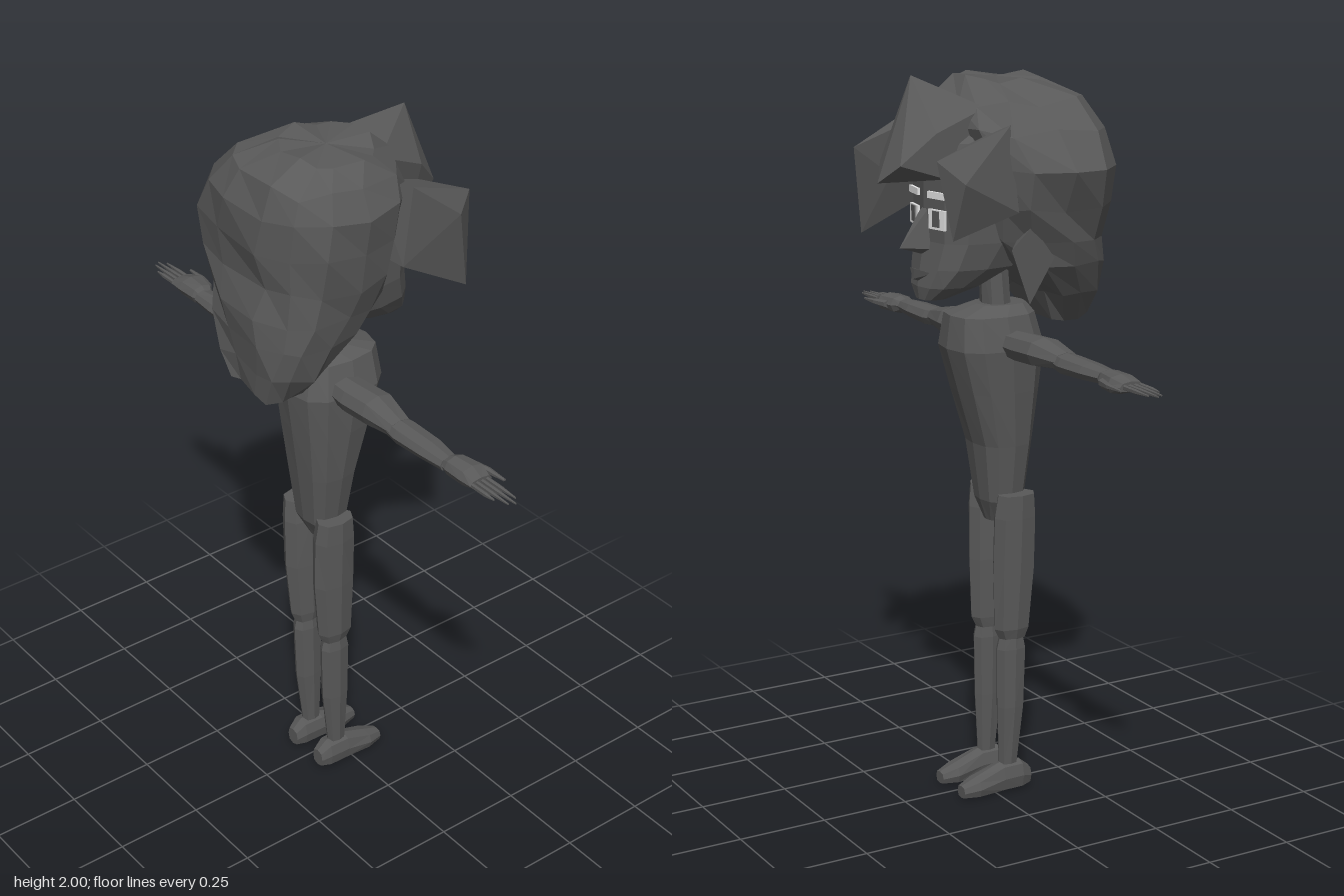
import * as THREE from 'three';
import { ConvexGeometry } from 'three/addons/geometries/ConvexGeometry.js';

const mat = (name, color) => Object.assign(new THREE.MeshStandardMaterial({ color }), { name });

// Small seeded noise for the uneven hair facets
let seed = 7;
const noise = () => ((seed = (seed * 16807) % 2147483647) / 2147483647) * 2 - 1;

// Faceted loft. Each row is [height, x0, x1, z0, z1]; power < 1 gives a squarer section.
// place() maps the built point (x, height, z) to its final position.
function loft(rows, sides, { power = 1, jitter = 0, place = (x, y, z) => [x, y, z] } = {}) {
  const sq = (v) => Math.sign(v) * Math.pow(Math.abs(v), power);
  const rings = rows.map(([h, x0, x1, z0, z1]) => Array.from({ length: sides }, (_, i) => {
    const a = (i / sides) * Math.PI * 2;
    return place(
      (x0 + x1) / 2 + sq(Math.cos(a)) * (x1 - x0) / 2 + noise() * jitter,
      h + noise() * jitter,
      (z0 + z1) / 2 + sq(Math.sin(a)) * (z1 - z0) / 2 + noise() * jitter);
  }));
  const mid = (ring) => [0, 1, 2].map((k) => ring.reduce((s, p) => s + p[k], 0) / sides);
  const ends = [mid(rings[0]), mid(rings[rings.length - 1])];
  const tris = [];
  for (let i = 0; i < sides; i++) {
    const j = (i + 1) % sides;
    for (let r = 0; r < rings.length - 1; r++) {
      const [a, b, c, d] = [rings[r][i], rings[r][j], rings[r + 1][j], rings[r + 1][i]];
      tris.push([a, b, c], [a, c, d]);
    }
    const last = rings[rings.length - 1];
    tris.push([ends[0], rings[0][j], rings[0][i]], [ends[1], last[i], last[j]]);
  }
  // Turn all faces outward, judged by the enclosed volume
  const v = (p) => new THREE.Vector3(...p);
  const volume = tris.reduce((s, [a, b, c]) => s + v(a).dot(v(b).cross(v(c))), 0);
  if (volume < 0) tris.forEach((t) => t.reverse());
  const geo = new THREE.BufferGeometry();
  geo.setAttribute('position', new THREE.Float32BufferAttribute(tris.flat(2), 3));
  geo.computeVertexNormals();
  return geo;
}

const hull = (points) => new ConvexGeometry(points.map((p) => new THREE.Vector3(...p)));

export function createModel() {
  const model = new THREE.Group();
  model.name = 'figure';
  const grey = mat('dark grey', 0x595959);
  const white = mat('pale grey', 0xe4e4e4);
  const add = (name, geo, material = grey) => {
    const mesh = new THREE.Mesh(geo, material);
    mesh.name = name;
    model.add(mesh);
    return mesh;
  };

  // Torso and neck
  add('torso', loft([
    [0.78, -0.03, 0.03, 0.01, 0.08], [0.84, -0.07, 0.07, -0.01, 0.11],
    [1.0, -0.09, 0.097, -0.03, 0.13], [1.15, -0.105, 0.115, -0.075, 0.15],
    [1.27, -0.115, 0.125, -0.11, 0.165], [1.36, -0.095, 0.1, -0.1, 0.14],
    [1.385, -0.06, 0.06, -0.02, 0.12],
  ], 12, { power: 0.75 }));
  add('neck', loft([[1.34, -0.05, 0.05, 0, 0.08], [1.52, -0.04, 0.04, -0.01, 0.07]], 8));

  for (const s of [1, -1]) {
    const side = s > 0 ? 'left' : 'right';
    const mirror = { power: 0.85, place: (x, y, z) => [s * x, y, z] };

    // Leg and foot
    add(side + 'Thigh', loft([
      [0.45, 0.035, 0.09, 0.015, 0.095], [0.48, 0.03, 0.098, 0.0, 0.107],
      [0.65, 0.026, 0.106, -0.005, 0.122], [0.8, 0.028, 0.112, -0.003, 0.122],
      [0.865, 0.038, 0.112, 0.005, 0.115],
    ], 8, mirror));
    add(side + 'Shin', loft([
      [0.08, 0.04, 0.08, 0.018, 0.072], [0.25, 0.034, 0.09, 0.01, 0.092],
      [0.42, 0.034, 0.093, 0.008, 0.097], [0.47, 0.04, 0.088, 0.02, 0.085],
    ], 8, mirror));
    // Foot runs from heel to toe along -z
    add(side + 'Foot', loft([
      [-0.11, 0.038, 0.082, 0.008, 0.06], [-0.08, 0.03, 0.092, 0, 0.085],
      [-0.02, 0.028, 0.094, 0, 0.085], [0.06, 0.025, 0.096, 0, 0.055],
      [0.105, 0.04, 0.082, 0.003, 0.038],
    ], 8, { power: 0.7, place: (x, h, y) => [s * x, y, -h] }));

    // Arm runs outward along x; rows are [x, y0, y1, z0, z1]
    const out = { power: 0.85, place: (y, h, z) => [s * h, y, z] };
    add(side + 'UpperArm', loft([
      [0.06, 1.25, 1.32, 0, 0.09], [0.15, 1.245, 1.325, -0.005, 0.1],
      [0.24, 1.25, 1.33, -0.008, 0.1], [0.34, 1.262, 1.308, 0.015, 0.088],
    ], 8, out));
    add(side + 'Forearm', loft([
      [0.3, 1.26, 1.308, 0.02, 0.085], [0.36, 1.253, 1.307, 0.01, 0.092],
      [0.46, 1.258, 1.305, 0.012, 0.09], [0.535, 1.262, 1.3, 0.025, 0.083],
    ], 8, out));
    add(side + 'Hand', loft([
      [0.52, 1.27, 1.295, 0.03, 0.075], [0.55, 1.255, 1.307, 0.012, 0.082],
      [0.61, 1.255, 1.307, 0, 0.084], [0.65, 1.268, 1.295, 0.012, 0.082],
    ], 8, out));
    [0.73, 0.765, 0.775, 0.755].forEach((tip, i) => {
      const z = 0.074 - i * 0.016;
      add(side + 'Finger' + (i + 1), loft([
        [0.63, 1.275, 1.289, z - 0.006, z + 0.006], [0.7, 1.275, 1.288, z - 0.006, z + 0.006],
        [tip, 1.279, 1.284, z - 0.002, z + 0.002],
      ], 6, out));
    });
    add(side + 'Thumb', loft([
      [0.57, 1.27, 1.292, 0.0, 0.025], [0.62, 1.274, 1.29, -0.01, 0.008],
      [0.68, 1.279, 1.285, -0.008, 0],
    ], 6, out));
  }

  // Head, with the face toward -z
  add('head', loft([
    [1.415, -0.04, 0.04, -0.195, -0.12], [1.45, -0.085, 0.085, -0.2, -0.02],
    [1.5, -0.12, 0.12, -0.192, 0.08], [1.57, -0.138, 0.138, -0.18, 0.14],
    [1.74, -0.145, 0.145, -0.18, 0.14], [1.83, -0.13, 0.13, -0.16, 0.14],
    [1.9, -0.08, 0.08, -0.1, 0.1],
  ], 12, { power: 0.75 }));
  add('nose', hull([
    [0, 1.555, -0.252], [-0.032, 1.55, -0.165], [0.032, 1.55, -0.165],
    [0, 1.53, -0.17], [-0.015, 1.66, -0.17], [0.015, 1.66, -0.17], [0, 1.65, -0.192],
  ]));
  add('lips', hull([
    [-0.045, 1.488, -0.18], [0.045, 1.488, -0.18], [-0.012, 1.5, -0.215],
    [0.012, 1.5, -0.215], [0, 1.47, -0.213], [0, 1.46, -0.185],
  ]));
  // Eyes and brows: thin plates turned with the cheeks
  for (const s of [1, -1]) {
    const side = s > 0 ? 'left' : 'right';
    const plate = (name, w, h, y, z, material) => {
      const mesh = add(side + name, new THREE.BoxGeometry(w, h, 0.008), material);
      mesh.position.set(s * 0.06, y, z);
      mesh.rotation.y = -0.19 * s;
    };
    plate('Eye', 0.064, 0.052, 1.632, -0.172, white);
    plate('Pupil', 0.026, 0.042, 1.634, -0.175, grey);
    plate('Brow', 0.07, 0.018, 1.695, -0.173, white);
  }

  // Main mass of hair, hanging low behind the head and slightly narrower toward the face
  add('hair', loft([
    [1.335, -0.09, 0.13, 0.17, 0.3], [1.41, -0.145, 0.17, 0.12, 0.31],
    [1.5, -0.2, 0.215, 0.02, 0.315], [1.57, -0.22, 0.23, -0.05, 0.31],
    [1.66, -0.25, 0.245, -0.075, 0.3], [1.76, -0.285, 0.255, -0.09, 0.305],
    [1.86, -0.235, 0.26, -0.12, 0.3], [1.93, -0.17, 0.23, -0.1, 0.27],
    [1.982, -0.07, 0.185, -0.04, 0.18],
  ], 14, {
    power: 0.75, jitter: 0.011,
    place: (x, y, z) => [x + Math.max(0, -x) * (0.12 - z) * 0.5, y, z],
  }));
  // Pointed locks framing the face
  add('fringe', hull([
    [0.02, 2.0, -0.205], [-0.09, 1.86, -0.19], [0.1, 1.86, -0.2], [0, 1.73, -0.315],
    [-0.07, 1.78, -0.285], [0.06, 1.78, -0.275], [0.07, 1.72, -0.19],
    [-0.09, 1.74, -0.16], [-0.1, 1.92, -0.05], [0.12, 1.93, -0.05], [0, 1.73, -0.1],
  ]));
  add('leftLock', hull([
    [0.19, 1.8, -0.285], [0.27, 1.79, -0.19], [0.24, 1.56, -0.24], [0.16, 1.86, -0.14],
    [0.25, 1.9, -0.05], [0.24, 1.68, -0.03], [0.18, 1.72, -0.18],
    [0.15, 1.9, 0], [0.16, 1.7, 0],
  ]));
  add('rightLock', hull([
    [-0.225, 1.81, -0.265], [-0.258, 1.75, -0.2], [-0.21, 1.6, -0.21], [-0.19, 1.88, -0.03],
    [-0.22, 1.66, -0.02], [-0.15, 1.84, -0.12], [-0.18, 1.7, -0.15],
    [-0.14, 1.88, 0], [-0.16, 1.68, 0],
  ]));
  add('lowRightLock', hull([
    [-0.192, 1.41, 0.03], [-0.155, 1.41, 0.05], [-0.2, 1.53, 0.1], [-0.2, 1.56, -0.03],
    [-0.13, 1.5, 0.04], [-0.205, 1.62, 0.03], [-0.12, 1.6, 0.05],
  ]));
  return model;
}
